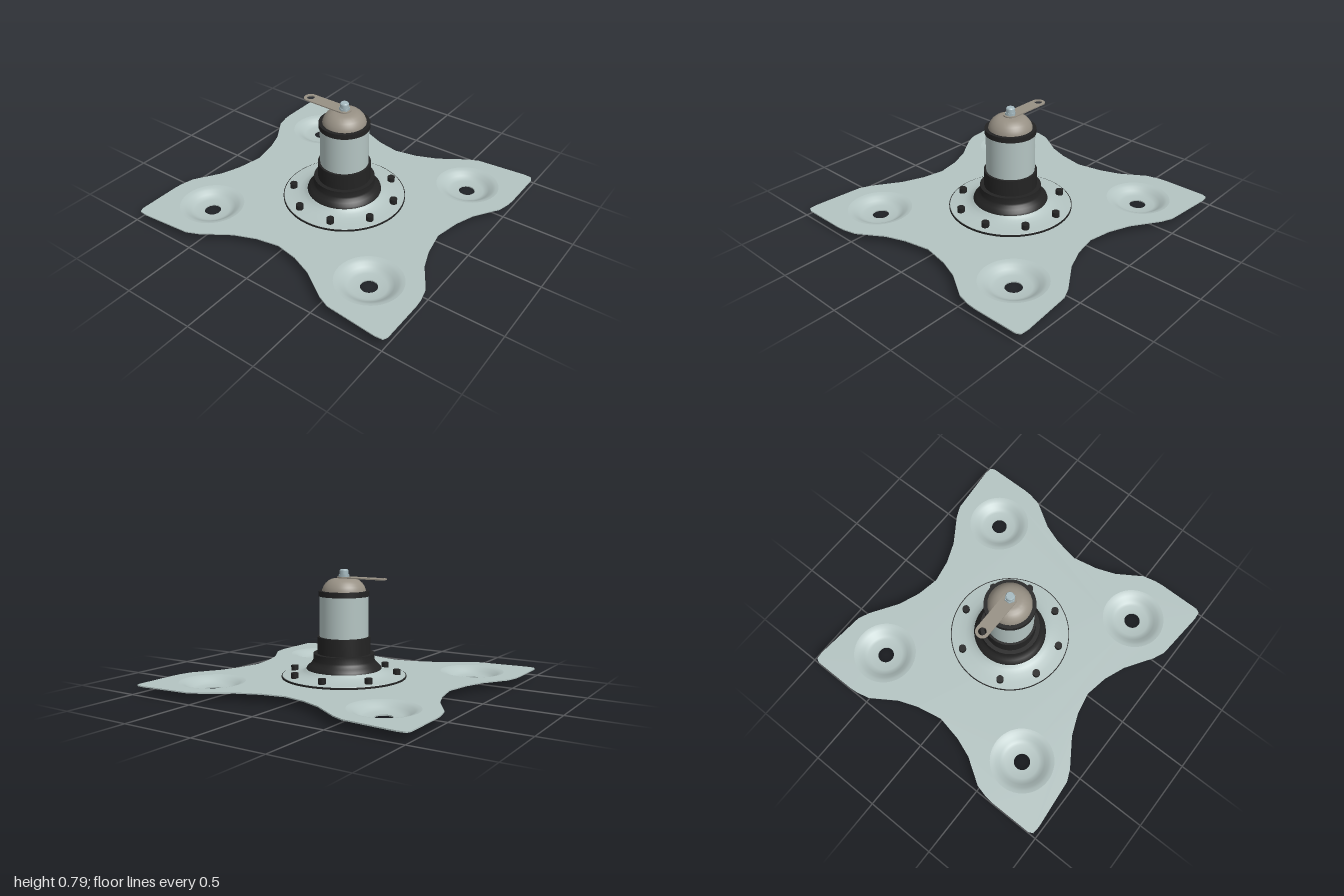
import * as THREE from 'three';
import { toCreasedNormals } from 'three/addons/utils/BufferGeometryUtils.js';

export function createModel() {
  const model = new THREE.Group();
  model.name = 'baseMount';
  const mat = (name, color) => {
    const m = new THREE.MeshStandardMaterial({ color });
    m.name = name;
    return m;
  };
  const paleMetal = mat('pale grey-green metal', 0xb4c4c2);
  const black = mat('black rubber', 0x232323);
  const warmGrey = mat('warm grey metal', 0x979084);
  const steel = mat('blue-grey steel', 0xa6bac0);

  const add = (parent, name, geometry, material, x = 0, y = 0, z = 0) => {
    const mesh = new THREE.Mesh(geometry, material);
    mesh.name = name;
    mesh.position.set(x, y, z);
    parent.add(mesh);
    return mesh;
  };
  // Profile runs from the bottom upwards on the outside
  const lathe = (points, crease = 0.5, segments = 64) => toCreasedNormals(
    new THREE.LatheGeometry(points.map(p => new THREE.Vector2(...p)), segments), crease);
  // Flat shape, lying down with its underside at y = 0
  const slab = (shape, depth, curveSegments) => new THREE.ExtrudeGeometry(shape,
    { depth, bevelEnabled: false, curveSegments }).rotateX(-Math.PI / 2);

  // Four-armed ground plate: one quarter of the outline, mirrored round
  const quarter = [[0.775, 0], [0.81, 0.18], [0.86, 0.315], [0.973, 0.49], [0.995, 0.58], [1, 0.64],
    [1, 0.94], [0.985, 0.97], [0.93, 0.975], [0.58, 0.945], [0.5, 0.91], [0.31, 0.785], [0.16, 0.725], [0, 0.695]];
  const back = quarter.slice().reverse();
  const outline = [
    ...quarter,
    ...back.slice(1).map(([x, y]) => [-x, y]),
    ...quarter.slice(1).map(([x, y]) => [-x, -y]),
    ...back.slice(1, -1).map(([x, y]) => [x, -y]),
  ];
  const plate = new THREE.Shape(outline.map(p => new THREE.Vector2(...p)));
  const dishX = 0.655, dishZ = 0.62, dishR = 0.22;
  const corners = [[1, 1], [1, -1], [-1, 1], [-1, -1]];
  for (const [sx, sz] of corners) {
    const hole = new THREE.Path();
    hole.absarc(sx * dishX, sz * dishZ, dishR, 0, Math.PI * 2, true);
    plate.holes.push(hole);
  }
  add(model, 'groundPlate', slab(plate, 0.008, 24), paleMetal, 0, 0.052, 0);

  // Pressed dishes with a drilled centre
  const dishTop = [[dishR, 0.06], [0.2, 0.056], [0.18, 0.047], [0.155, 0.029], [0.135, 0.016], [0.115, 0.01], [0.056, 0.008]];
  const dishProfile = [
    ...dishTop.slice().reverse().map(([r, y]) => [r, y - 0.008]),
    ...dishTop,
    [0.056, 0],
  ];
  const dishGeometry = lathe(dishProfile, 0.8, 48);
  for (const [sx, sz] of corners) add(model, 'footDish', dishGeometry, paleMetal, sx * dishX, 0, sz * dishZ);

  // Central pillar
  const pillar = new THREE.Group();
  pillar.name = 'pillar';
  pillar.position.set(0.012, 0, -0.01);
  model.add(pillar);
  add(pillar, 'gasket', new THREE.CylinderGeometry(0.425, 0.425, 0.012, 64), black, 0, 0.066, 0);
  add(pillar, 'flange', lathe([[0.421, 0.07], [0.418, 0.075], [0.37, 0.078], [0.32, 0.084], [0.285, 0.094],
    [0.262, 0.108], [0.25, 0.12], [0.2, 0.121]], 0.9), paleMetal);
  add(pillar, 'boot', lathe([[0.2, 0.116], [0.256, 0.116], [0.252, 0.128], [0.232, 0.147], [0.214, 0.166],
    [0.209, 0.178], [0.209, 0.222], [0.181, 0.222], [0.181, 0.337], [0.15, 0.337]]), black);
  add(pillar, 'column', new THREE.CylinderGeometry(0.165, 0.165, 0.29, 64), paleMetal, 0, 0.473, 0);
  add(pillar, 'collar', new THREE.CylinderGeometry(0.172, 0.172, 0.035, 64), black, 0, 0.628, 0);
  add(pillar, 'dome', lathe([[0.148, 0.64], [0.146, 0.656], [0.138, 0.676], [0.124, 0.697], [0.105, 0.714],
    [0.085, 0.724], [0.068, 0.728], [0, 0.729]], 0.7), warmGrey);

  // Lever with a drilled round end, clamped by the top bolt
  const lever = new THREE.Shape();
  lever.absarc(0, 0, 0.046, -Math.PI / 2, Math.PI / 2, false);
  lever.absarc(-0.28, 0, 0.046, Math.PI / 2, Math.PI * 1.5, false);
  const eye = new THREE.Path();
  eye.absarc(-0.28, 0, 0.027, 0, Math.PI * 2, true);
  lever.holes.push(eye);
  add(pillar, 'lever', slab(lever, 0.008, 16), warmGrey, 0, 0.731, 0);
  add(pillar, 'topNut', new THREE.CylinderGeometry(0.036, 0.036, 0.016, 6), steel, 0, 0.747, 0);
  add(pillar, 'topBolt', lathe([[0.029, 0.73], [0.029, 0.783], [0.024, 0.79], [0, 0.79]], 0.5, 24), steel);

  // Flange bolts: black heads above, pale ends below the plate
  const headGeometry = new THREE.CylinderGeometry(0.026, 0.026, 0.038, 16);
  const endGeometry = new THREE.CylinderGeometry(0.022, 0.022, 0.014, 16);
  for (const degrees of [26, 69, 111, 153, 211, 260, 302, 345]) {
    const a = THREE.MathUtils.degToRad(degrees);
    const x = 0.36 * Math.cos(a), z = 0.36 * Math.sin(a);
    add(pillar, 'flangeBolt', headGeometry, black, x, 0.094, z);
    add(pillar, 'boltEnd', endGeometry, paleMetal, x, 0.052, z);
  }
  return model;
}
